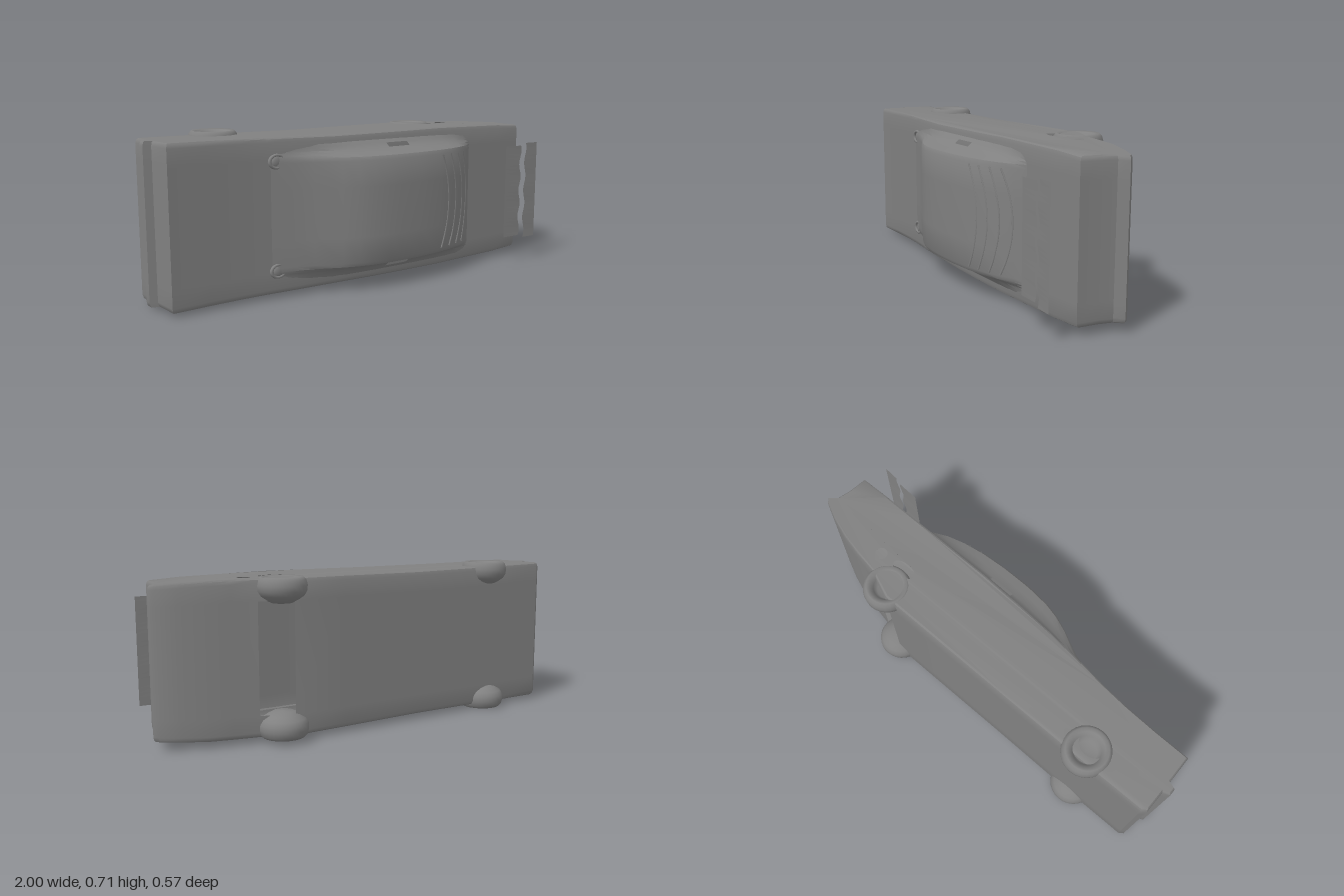
import * as THREE from 'three';
import { mergeGeometries, toCreasedNormals } from 'three/addons/utils/BufferGeometryUtils.js';

const MID = 0.36; // height of the car's centre plane: it lies on its side, roof towards +z
const paint = new THREE.MeshStandardMaterial({ color: 0x808080, side: THREE.DoubleSide });

// Piecewise linear lookup: table of [x, value]
function lookup(table, x) {
  if (x <= table[0][0]) return table[0][1];
  for (let i = 1; i < table.length; i++) {
    const [x0, a] = table[i - 1], [x1, b] = table[i];
    if (x <= x1) return a + (b - a) * (x - x0) / (x1 - x0);
  }
  return table[table.length - 1][1];
}

// Skin a list of equally long rows of [x, y, z]; skip(i, j) leaves a hole
function sheet(rows, skip = () => false) {
  const pos = [];
  for (let i = 0; i + 1 < rows.length; i++) {
    for (let j = 0; j + 1 < rows[i].length; j++) {
      if (skip(i, j)) continue;
      const a = rows[i][j], b = rows[i][j + 1], c = rows[i + 1][j + 1], d = rows[i + 1][j];
      pos.push(...a, ...b, ...c, ...a, ...c, ...d);
    }
  }
  const g = new THREE.BufferGeometry();
  g.setAttribute('position', new THREE.Float32BufferAttribute(pos, 3));
  return g;
}

// Side outline of the hull as [x, z], from the nose over the bonnet
const outline = [
  [-0.97, -0.21], [-0.97, -0.11], [-1, -0.1], [-1, -0.07], [-0.968, -0.06], [-0.965, 0.07],
  [-0.8, 0.072], [-0.65, 0.078], [-0.53, 0.088], [-0.4, 0.105], [-0.2, 0.127], [0, 0.138],
  [0.2, 0.145], [0.4, 0.147], [0.6, 0.148], [0.8, 0.15], [0.94, 0.15], [0.95, 0.06],
  [0.965, 0], [1, -0.03], [0.985, -0.05], [0.9, -0.09], [0.8, -0.125], [0.7, -0.148],
  [0.59, -0.168], [0.45, -0.225], [0.2, -0.225], [-0.2, -0.225], [-0.5, -0.226], [-0.75, -0.226], [-0.95, -0.224],
];
const GAP = 24; // outline segment left open under the rear axle
const halfWidth = [[-1, 0.34], [-0.2, 0.331], [0.4, 0.335], [0.8, 0.328], [1, 0.316]];

// Point on the hull at a share t of the half width, pulled in by inset
function hullPoint([x, z], t, inset) {
  const px = x * (1 - 0.008 * inset), pz = -0.04 + (z + 0.04) * (1 - 0.07 * inset);
  return [px, MID + t * lookup(halfWidth, px), pz];
}

function hullGeometry() {
  const stations = [[-1, 1], [-0.985, 0.4], [-0.94, 0], [-0.72, 0], [0.72, 0], [0.94, 0], [0.985, 0.4], [1, 1]];
  const ring = [...outline, outline[0]];
  const rows = stations.map(([t, inset]) => ring.map(p => hullPoint(p, t, inset)));
  const parts = [sheet(rows, (i, j) => i === 3 && j === GAP)];
  // Flat sides with the front wheel wells and openings around the rear wheels
  const openings = [[0.48, -0.075, 0.06, 0.03], [0.61, -0.082, 0.028, 0.028], [-0.64, -0.15, 0.06, 0.045]];
  for (const s of [-1, 1]) {
    const shape = new THREE.Shape(outline.map(p => {
      const q = hullPoint(p, s, 1);
      return new THREE.Vector2(q[0], q[2]);
    }));
    for (const [x, z, rx, rz] of openings) {
      shape.holes.push(new THREE.Path().absellipse(x, z, rx, rz, 0, Math.PI * 2));
    }
    const cap = new THREE.ShapeGeometry(shape, 10).toNonIndexed();
    const p = cap.attributes.position;
    for (let i = 0; i < p.count; i++) {
      const x = p.getX(i);
      p.setXYZ(i, x, MID + s * lookup(halfWidth, x), p.getY(i));
    }
    if (s > 0) { // turn the upper side outwards
      for (let i = 0; i < p.count; i += 3) {
        const a = [p.getX(i), p.getY(i), p.getZ(i)];
        p.setXYZ(i, p.getX(i + 1), p.getY(i + 1), p.getZ(i + 1));
        p.setXYZ(i + 1, ...a);
      }
    }
    cap.deleteAttribute('uv');
    cap.deleteAttribute('normal');
    parts.push(cap);
  }
  return toCreasedNormals(mergeGeometries(parts), 0.6);
}

// Roof line as [x, z] and the shoulder line it rises from
const roof = [
  [-0.52, 0.088], [-0.42, 0.118], [-0.33, 0.148], [-0.22, 0.205], [-0.15, 0.235], [-0.08, 0.254], [0, 0.264],
  [0.06, 0.267], [0.18, 0.267], [0.3, 0.258], [0.4, 0.24], [0.48, 0.215], [0.55, 0.178], [0.6, 0.143],
];
const shoulder = outline.slice(5, 17);

function cabinGeometry() {
  const half = [[0.305, 0], [0.285, 0.15], [0.268, 0.3], [0.255, 0.6], [0.242, 0.9], [0.225, 0.98], [0.11, 1]];
  const rows = roof.map(([x, top]) => {
    const base = lookup(shoulder, x) - 0.005, h = Math.max(top - base, 0.002);
    const side = s => half.map(([w, k]) => [x, MID + s * w, base + h * k]);
    return [...side(1), ...side(-1).reverse()];
  });
  // A narrow slot under each side window
  return toCreasedNormals(sheet(rows, (i, j) => i === 7 && (j === 1 || j === 11)), 0.6);
}

// Tyre dished on the outside and tapering inwards; axis along y
function wheelGeometry() {
  const profile = [
    [0, 0.045], [0.045, 0.045], [0.06, 0.02], [0.074, 0.004], [0.09, 0], [0.102, 0.012], [0.108, 0.035],
    [0.106, 0.058], [0.094, 0.078], [0.07, 0.095], [0.045, 0.108], [0, 0.112],
  ];
  return new THREE.LatheGeometry(profile.map(([r, y]) => new THREE.Vector2(r, y)), 28);
}

export function createModel() {
  const model = new THREE.Group();
  const add = (name, geometry, x = 0, y = 0, z = 0) => {
    const mesh = new THREE.Mesh(geometry, paint);
    mesh.name = name;
    mesh.position.set(x, y, z);
    model.add(mesh);
    return mesh;
  };

  add('body', hullGeometry());
  add('cabin', cabinGeometry());

  // Wheels, mirrored about the centre plane
  const wheel = wheelGeometry();
  for (const [name, x, z, out] of [['frontWheel', -0.635, -0.176, 0.356], ['rearWheel', 0.485, -0.179, 0.337]]) {
    for (const s of [-1, 1]) {
      const mesh = add(name, wheel, x, MID + s * out, z);
      if (s > 0) mesh.rotation.x = Math.PI;
    }
  }

  // Door mirrors: small rimmed cups
  for (const s of [-1, 1]) {
    const y = MID + s * 0.235;
    add('mirrorRim', new THREE.TorusGeometry(0.034, 0.008, 8, 20), -0.485, y, 0.094).scale.y = 0.8;
    add('mirrorCup', new THREE.SphereGeometry(0.028, 16, 8), -0.48, y, 0.09).scale.z = 0.4;
  }

  // Bowed slats over the rear window
  for (const x0 of [0.37, 0.43, 0.49, 0.545]) {
    const points = [];
    for (let k = -4; k <= 4; k++) {
      const x = x0 - 0.05 * (k / 4) ** 2;
      points.push(new THREE.Vector3(x, MID + k * 0.055, lookup(roof, x) - 0.002));
    }
    add('rearSlat', new THREE.TubeGeometry(new THREE.CatmullRomCurve3(points), 24, 0.005, 6));
  }

  // Rear wing: two thin blades with wavy facing edges
  const blade = (x0, x1, half, wave0, wave1, z0, z1) => {
    const rows = [];
    for (let k = 0; k <= 24; k++) {
      const y = MID + half * (k / 12 - 1), w = 0.007 * Math.sin(k * 0.9);
      rows.push([[x0 + w * wave0, y, z0], [x1 + w * wave1, y, z1]]);
    }
    // reversed so that the upper face looks towards +z
    const skin = sheet(rows.reverse());
    skin.computeVertexNormals();
    return skin;
  };
  add('wingFrontBlade', blade(0.74, 0.84, 0.228, 0, 1, 0.262, 0.268));
  add('wingRearBlade', blade(0.868, 0.945, 0.24, 1, 0, 0.275, 0.281));

  return model;
}
